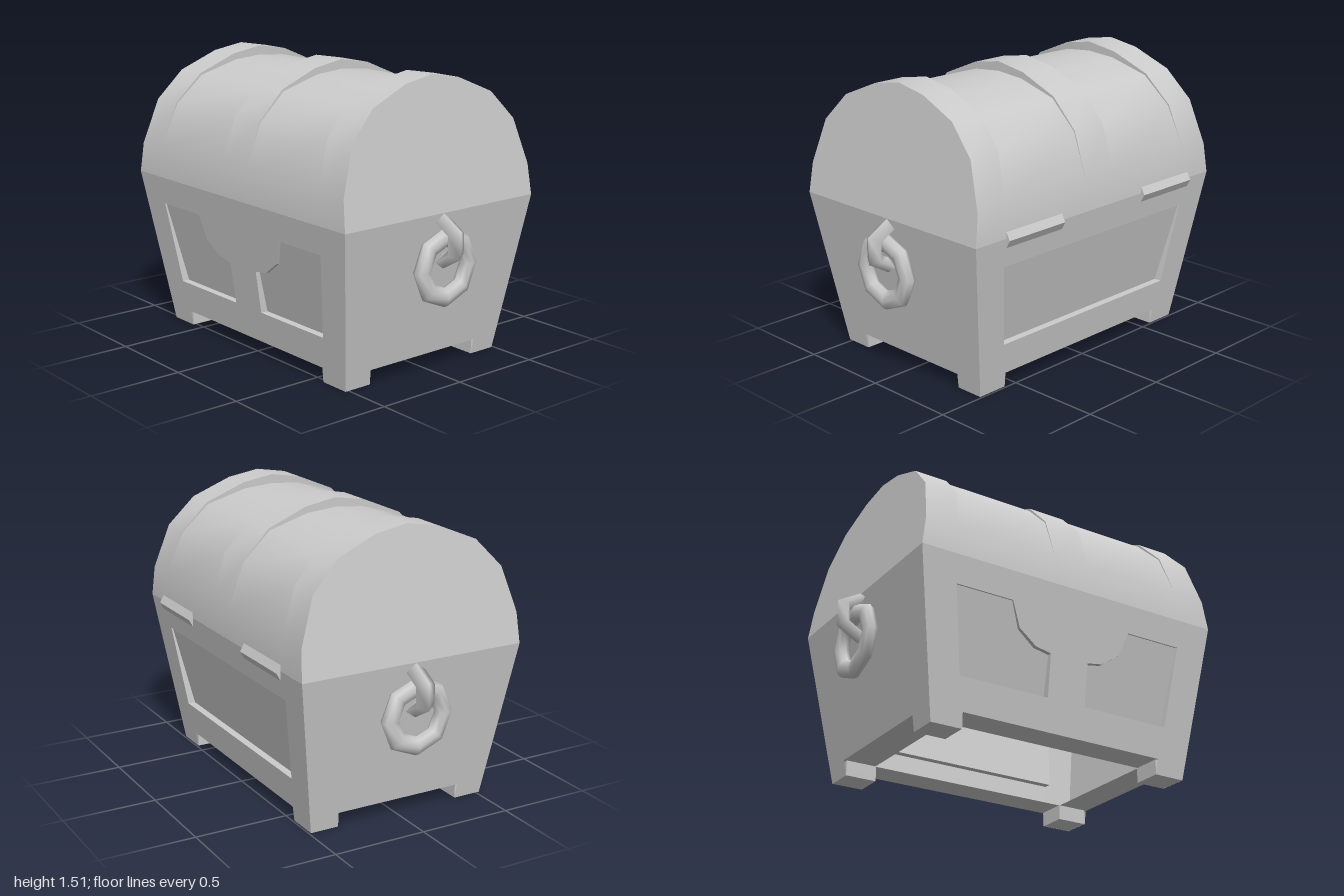
import * as THREE from 'three';
import { toCreasedNormals } from 'three/addons/utils/BufferGeometryUtils.js';

const material = new THREE.MeshStandardMaterial({ color: 0xcccccc, side: THREE.DoubleSide });
const SEAM = 0.84, FOOT = 0.08;
const halfWidth = (y) => 0.74 + 0.161 * y;   // body flares upwards
const halfDepth = (y) => 0.505 + 0.143 * y;
const lidEnd = (y) => 0.875 - 0.142 * (y - SEAM);

function add(parent, name, geometry) {
  const mesh = new THREE.Mesh(geometry, material);
  mesh.name = name;
  parent.add(mesh);
  return mesh;
}

function fromTriangles(points, crease = 0.3) {
  const g = new THREE.BufferGeometry().setFromPoints(points);
  return toCreasedNormals(g, crease);
}

// Flat 2D shape laid onto a sloping wall
function slopedShape(shape, out) {
  const g = new THREE.ShapeGeometry(shape);
  const p = g.attributes.position;
  for (let i = 0; i < p.count; i++) p.setZ(i, out(p.getY(i)));
  g.computeVertexNormals();
  return g;
}

const toPath = (pts) => pts.map(([x, y]) => new THREE.Vector2(x, y));

// One body wall with a notch between its feet and optional recessed panels
function makeWall(name, half, out, notch, panels, turn) {
  const wall = new THREE.Group();
  wall.name = name;
  const b = half(0), t = half(SEAM);
  const shape = new THREE.Shape(toPath([
    [-b, 0], [-notch, 0], [-notch - 0.005, FOOT], [notch + 0.005, FOOT],
    [notch, 0], [b, 0], [t, SEAM], [-t, SEAM],
  ]));
  // Recess is deepest at the bottom and fades towards the top
  const deep = (y) => out(y) - (0.04 - 0.073 * (y - 0.25));
  for (const pts of panels) {
    shape.holes.push(new THREE.Path(toPath(pts)));
    add(wall, 'recessedPanel', slopedShape(new THREE.Shape(toPath(pts)), deep));
    const tris = [];
    pts.forEach(([ax, ay], i) => {
      const [bx, by] = pts[(i + 1) % pts.length];
      const a = new THREE.Vector3(ax, ay, out(ay)), a2 = new THREE.Vector3(ax, ay, deep(ay));
      const c = new THREE.Vector3(bx, by, out(by)), c2 = new THREE.Vector3(bx, by, deep(by));
      tris.push(a, c, c2, a, c2, a2);
    });
    add(wall, 'panelEdge', fromTriangles(tris));
  }
  add(wall, 'wallFace', slopedShape(shape, out));
  wall.rotation.y = turn;
  return wall;
}

// Arched lid: a grid across a profile, sunk between the three raised bands
function makeLid() {
  const lid = new THREE.Group();
  lid.name = 'lid';
  // depth, height, sink of the field between the bands
  const rise = [[0.625, SEAM, 0], [0.615, 1.0, 0], [0.535, 1.24, 0.006],
    [0.39, 1.39, 0.012], [0.175, 1.48, 0.036]];
  const profile = [...rise, [0, 1.51, 0.05], ...rise.map(([z, y, s]) => [-z, y, s]).reverse()];
  const rows = profile.map(([z, y, sink]) => {
    const e = lidEnd(y), k = e - 0.18;
    const dir = new THREE.Vector2(z, y - SEAM).normalize();
    return [[-e, 0], [-k, 0], [-k, 1], [-0.105, 1], [-0.105, 0],
      [0.105, 0], [0.105, 1], [k, 1], [k, 0], [e, 0]].map(([x, low]) =>
      new THREE.Vector3(x, y - dir.y * sink * low, z - dir.x * sink * low));
  });
  const skin = [], caps = [];
  for (let i = 0; i < rows.length - 1; i++) {
    const r = rows[i], s = rows[i + 1];
    for (let j = 0; j < r.length - 1; j++) {
      if (r[j].distanceTo(r[j + 1]) > 1e-6) skin.push(r[j], r[j + 1], s[j + 1]);
      if (s[j].distanceTo(s[j + 1]) > 1e-6) skin.push(r[j], s[j + 1], s[j]);
    }
    if (i > 0) {
      caps.push(rows[0][0], r[0], s[0]);
      caps.push(rows[0][9], s[9], r[9]);
    }
  }
  add(lid, 'lidArch', fromTriangles(skin, 0.7));
  add(lid, 'lidEnds', fromTriangles(caps));
  return lid;
}

// Ring hanging from a bracket on one side
function makeHandle(side) {
  const handle = new THREE.Group();
  handle.name = side > 0 ? 'leftHandle' : 'rightHandle';
  const ring = new THREE.TorusGeometry(0.155, 0.05, 8, 8);
  ring.scale(1, 1, 0.72).rotateY(Math.PI / 2);
  add(handle, 'ring', ring).position.set(0.895, 0.57, 0);
  const bracket = new THREE.TorusGeometry(0.1, 0.04, 4, 3, Math.PI);
  bracket.rotateZ(-Math.PI / 2).scale(1, 1, 1.35);
  add(handle, 'ringBracket', bracket).position.set(0.88, 0.7, 0);
  if (side < 0) handle.rotation.y = Math.PI;
  return handle;
}

export function createModel() {
  const model = new THREE.Group();
  model.name = 'chest';
  const chest = new THREE.Group();
  chest.name = 'chestParts';
  chest.position.z = 0.015;
  model.add(chest);

  // Body walls
  const panel = [[-0.61, 0.25], [-0.11, 0.25], [-0.11, 0.475], [-0.2, 0.49],
    [-0.3, 0.56], [-0.35, 0.69], [-0.67, 0.69]];
  const mirrored = panel.map(([x, y]) => [-x, y]).reverse();
  const backPanel = [[-0.61, 0.25], [0.61, 0.25], [0.67, 0.69], [-0.67, 0.69]];
  chest.add(
    makeWall('frontWall', halfWidth, halfDepth, 0.57, [panel, mirrored], 0),
    makeWall('backWall', halfWidth, halfDepth, 0.57, [backPanel], Math.PI),
    makeWall('leftWall', halfDepth, halfWidth, 0.35, [], Math.PI / 2),
    makeWall('rightWall', halfDepth, halfWidth, 0.35, [], -Math.PI / 2),
  );

  // Bottom rim around the open underside
  const w = halfWidth(FOOT), d = halfDepth(FOOT);
  const rim = new THREE.Shape(toPath([[-w, -d], [w, -d], [w, d], [-w, d]]));
  rim.holes.push(new THREE.Path(toPath([[-0.575, -0.355], [0.575, -0.355], [0.575, 0.355], [-0.575, 0.355]])));
  add(chest, 'bottomRim', new THREE.ShapeGeometry(rim).rotateX(Math.PI / 2)).position.y = FOOT;

  // Feet
  for (const sx of [-1, 1]) for (const sz of [-1, 1]) {
    add(chest, 'foot', new THREE.BoxGeometry(0.168, FOOT, 0.153))
      .position.set(sx * 0.655, FOOT / 2, sz * 0.4275);
  }

  chest.add(makeLid(), makeHandle(1), makeHandle(-1));

  // Hinge bars on the back, three-sided
  const section = new THREE.Shape(toPath([[0, -0.04], [0.022, 0], [0, 0.04]]));
  for (const sx of [-1, 1]) {
    const bar = new THREE.ExtrudeGeometry(section, { depth: 0.385, bevelEnabled: false });
    bar.translate(0, 0, -0.1925).rotateY(Math.PI / 2);
    add(chest, 'hinge', bar).position.set(sx * 0.495, SEAM, -0.637);
  }
  return model;
}
